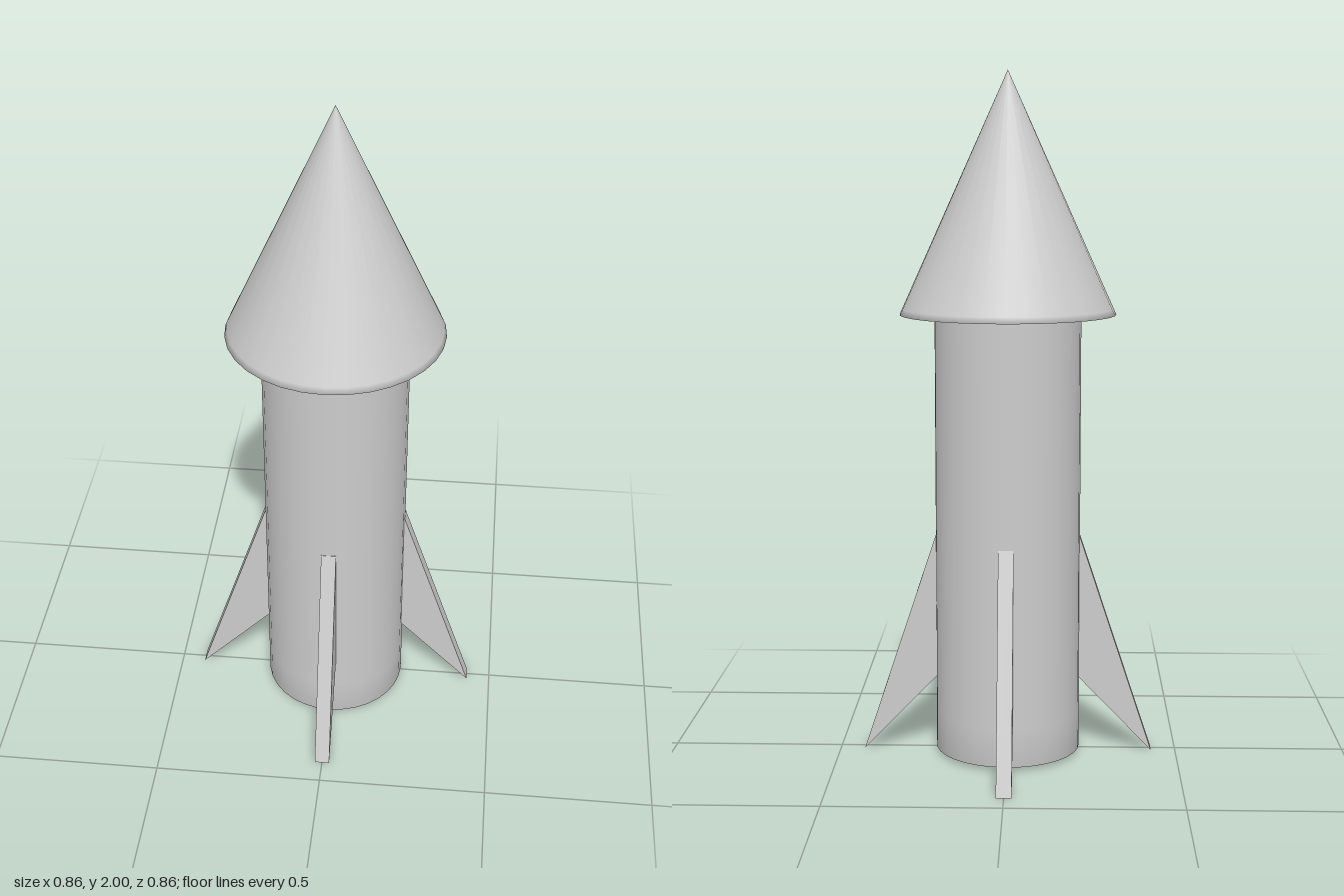
import * as THREE from 'three';

const SIDES = 32;
const grey = new THREE.MeshStandardMaterial({ color: 0xcccccc });

// Solid of revolution from [radius, y] pairs, listed bottom to top
function turned(name, profile) {
  const points = profile.map(([r, y]) => new THREE.Vector2(r, y));
  const mesh = new THREE.Mesh(new THREE.LatheGeometry(points, SIDES), grey);
  mesh.name = name;
  return mesh;
}

export function createModel() {
  const rocket = new THREE.Group();
  rocket.name = 'rocket';

  // Cylindrical hull with a flat base and softly shaded lower edge
  rocket.add(turned('body', [
    [0, 0.01], [0.195, 0.01], [0.213, 0.01], [0.213, 0.12], [0.213, 1.28], [0.213, 1.306],
  ]));

  // Overhanging nose cone with a narrow soft rim
  rocket.add(turned('noseCone', [
    [0, 1.304], [0.3, 1.304], [0.314, 1.304], [0.306, 1.322], [0, 2],
  ]));

  // Swept fin outline, slightly sunk into the hull
  const thickness = 0.044;
  const outline = new THREE.Shape([
    [0.2, 0.235], [0.213, 0.222], [0.428, 0], [0.213, 0.65], [0.2, 0.65],
  ].map(([x, y]) => new THREE.Vector2(x, y)));
  const finGeometry = new THREE.ExtrudeGeometry(outline, { depth: thickness, bevelEnabled: false });
  finGeometry.translate(0, 0, -thickness / 2);

  // Four fins, a quarter turn apart
  ['leftFin', 'backFin', 'rightFin', 'frontFin'].forEach((name, i) => {
    const fin = new THREE.Mesh(finGeometry, grey);
    fin.name = name;
    fin.rotation.y = (i * Math.PI) / 2;
    rocket.add(fin);
  });

  return rocket;
}
